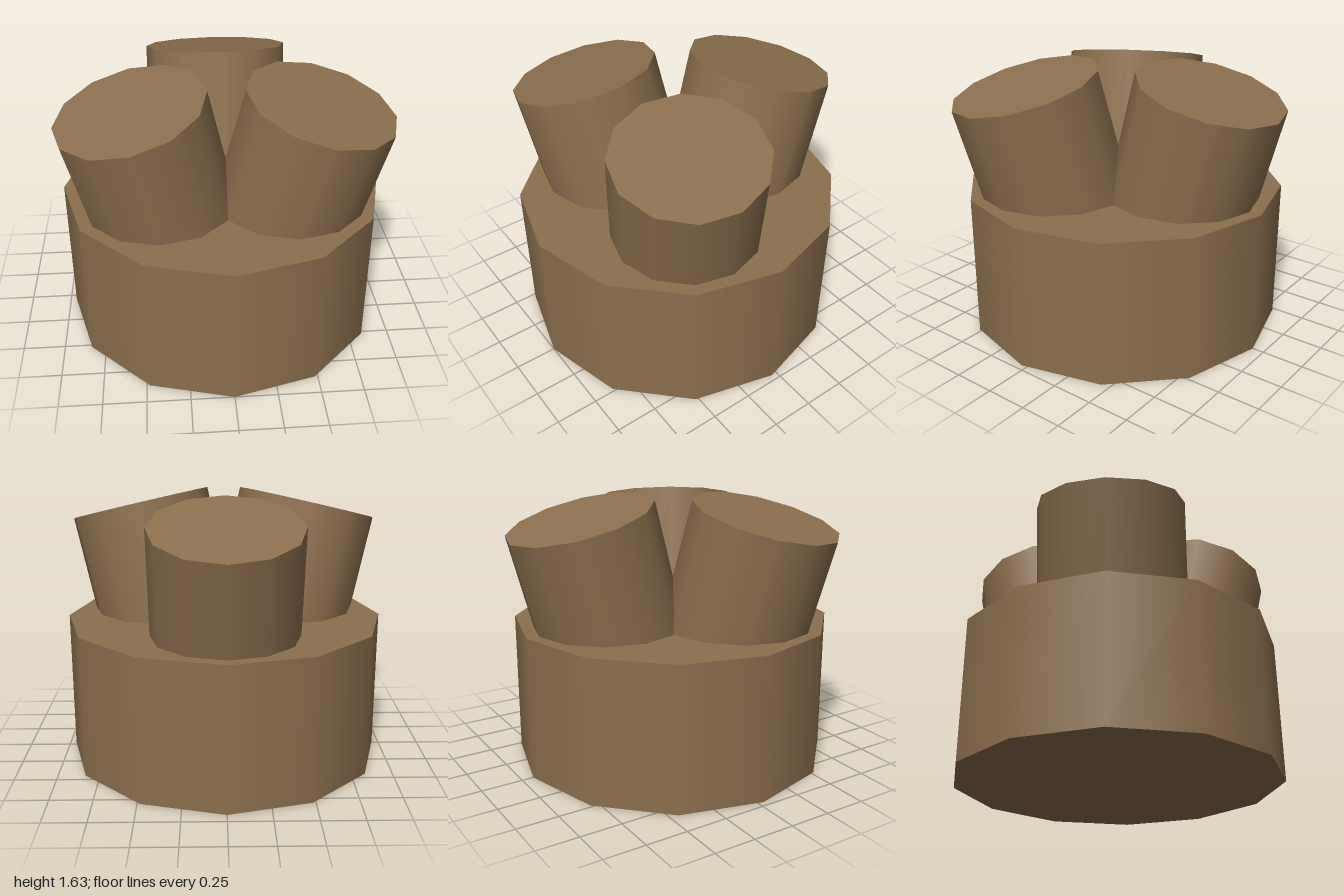
import * as THREE from 'three';

export function createModel() {
  const model = new THREE.Group();
  model.name = 'stumpWithStubs';
  const brown = new THREE.MeshStandardMaterial({ color: 0x8b6f4e });
  brown.name = 'brown';

  // Wide twelve-sided base
  const height = 0.86, centreZ = 0.035;
  const base = new THREE.Mesh(new THREE.CylinderGeometry(0.965, 0.965, height, 12), brown);
  base.name = 'base';
  base.position.set(0, height / 2, centreZ);
  model.add(base);

  // Three stubs leaning outward, their feet sunk into the base
  const length = 1.1;
  const stubGeometry = new THREE.CylinderGeometry(0.437, 0.437, length, 12);
  stubGeometry.translate(0, -length / 2, 0); // origin at the top cap
  stubGeometry.rotateX(-THREE.MathUtils.degToRad(15));
  stubGeometry.translate(0, 1.515, -0.612);
  ['backStub', 'leftStub', 'rightStub'].forEach((name, i) => {
    const stub = new THREE.Mesh(stubGeometry, brown);
    stub.name = name;
    stub.position.z = centreZ;
    stub.rotation.y = -i * Math.PI * 2 / 3;
    model.add(stub);
  });

  return model;
}
